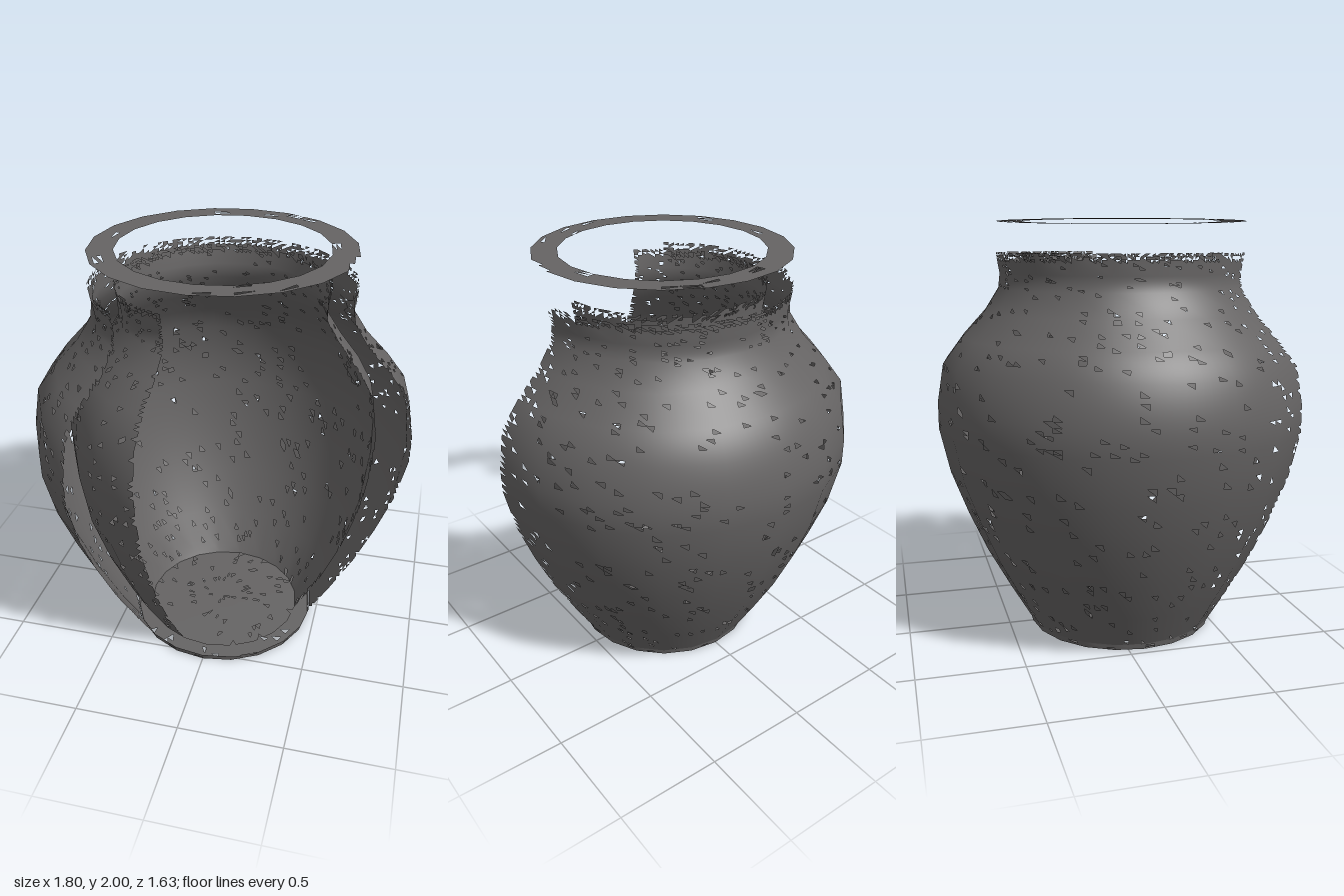
import * as THREE from 'three';

const DEG = Math.PI / 180;
const material = new THREE.MeshStandardMaterial({ color: 0x666464, side: THREE.DoubleSide });

// small seeded generator for the chipped surface
let seed = 7;
function random() {
  seed = (seed * 16807) % 2147483647;
  return seed / 2147483647;
}

// Split every triangle into n * n small ones and leave some out.
// ragged(p) is true where a broken edge runs.
function chip(geometry, n, ragged = () => false) {
  const source = geometry.index ? geometry.toNonIndexed() : geometry;
  const pos = source.attributes.position, nor = source.attributes.normal;
  const positions = [], normals = [];
  const read = (attribute, i) => new THREE.Vector3().fromBufferAttribute(attribute, i);
  const blend = (c, i, j) => c[0].clone().multiplyScalar((n - i - j) / n)
    .addScaledVector(c[1], i / n).addScaledVector(c[2], j / n);

  for (let t = 0; t < pos.count; t += 3) {
    const p = [0, 1, 2].map(k => read(pos, t + k));
    const m = [0, 1, 2].map(k => read(nor, t + k));
    const add = corners => {
      const pts = corners.map(([i, j]) => blend(p, i, j));
      const mid = pts[0].clone().add(pts[1]).add(pts[2]).divideScalar(3);
      if (random() < (ragged(mid) ? 0.5 : 0.035)) return;
      corners.forEach(([i, j], k) => {
        positions.push(...pts[k].toArray());
        normals.push(...blend(m, i, j).normalize().toArray());
      });
    };
    for (let i = 0; i < n; i++) {
      for (let j = 0; j < n - i; j++) {
        add([[i, j], [i + 1, j], [i, j + 1]]);
        if (i + j < n - 1) add([[i + 1, j], [i + 1, j + 1], [i, j + 1]]);
      }
    }
  }
  const result = new THREE.BufferGeometry();
  result.setAttribute('position', new THREE.Float32BufferAttribute(positions, 3));
  result.setAttribute('normal', new THREE.Float32BufferAttribute(normals, 3));
  return result;
}

// Lathe profile of [radius, height] points swept from start over a number of 18 degree facets
function shell(profile, start, facets) {
  const points = profile.map(([r, y]) => new THREE.Vector2(r, y));
  return new THREE.LatheGeometry(points, facets, start * DEG, facets * 18 * DEG);
}

// Broken along both upright cuts and along the top of the neck
function brokenEdge(start, end) {
  return p => {
    const angle = (Math.atan2(p.x, p.z) / DEG + 360) % 360;
    return angle < start + 1.5 || angle > end - 1.5 || p.y > 1.82;
  };
}

function flatRing(inner, outer, y, up) {
  return new THREE.RingGeometry(inner, outer, 20, 3)
    .rotateX(up ? -Math.PI / 2 : Math.PI / 2).translate(0, y, 0);
}

export function createModel() {
  const jar = new THREE.Group();
  jar.name = 'cutawayJar';
  const add = (name, geometry) => {
    const mesh = new THREE.Mesh(geometry, material);
    mesh.name = name;
    mesh.position.z = 0.08;
    jar.add(mesh);
  };

  // outer wall, opened from the left side round to the front
  const outer = [
    [0.47, 0.03], [0.57, 0.2], [0.68, 0.4], [0.77, 0.6], [0.85, 0.81], [0.9, 1.03], [0.9, 1.16],
    [0.87, 1.34], [0.78, 1.46], [0.67, 1.58], [0.6, 1.69], [0.592, 1.76], [0.608, 1.855],
  ];
  add('outerWall', chip(shell(outer, 90, 13), 7, brokenEdge(90, 324)));

  // inner wall, reaching one facet further at the front
  const inner = [
    [0.49, 1.855], [0.475, 1.76], [0.475, 1.69], [0.55, 1.57], [0.64, 1.45], [0.71, 1.32],
    [0.735, 1.13], [0.73, 0.98], [0.69, 0.72], [0.61, 0.47], [0.51, 0.24], [0.39, 0.03],
  ];
  add('innerWall', chip(shell(inner, 90, 14), 7, brokenEdge(90, 342)));

  // floor, underside and foot are whole circles
  add('floor', chip(flatRing(0, 0.39, 0.03, true), 4));
  add('underside', chip(flatRing(0, 0.46, 0, false), 4));
  add('foot', chip(shell([[0.46, 0], [0.468, 0.03]], 0, 20), 3));

  // flat lip hovering above the broken neck
  add('lip', chip(flatRing(0.48, 0.6, 2, true), 2));
  return jar;
}
